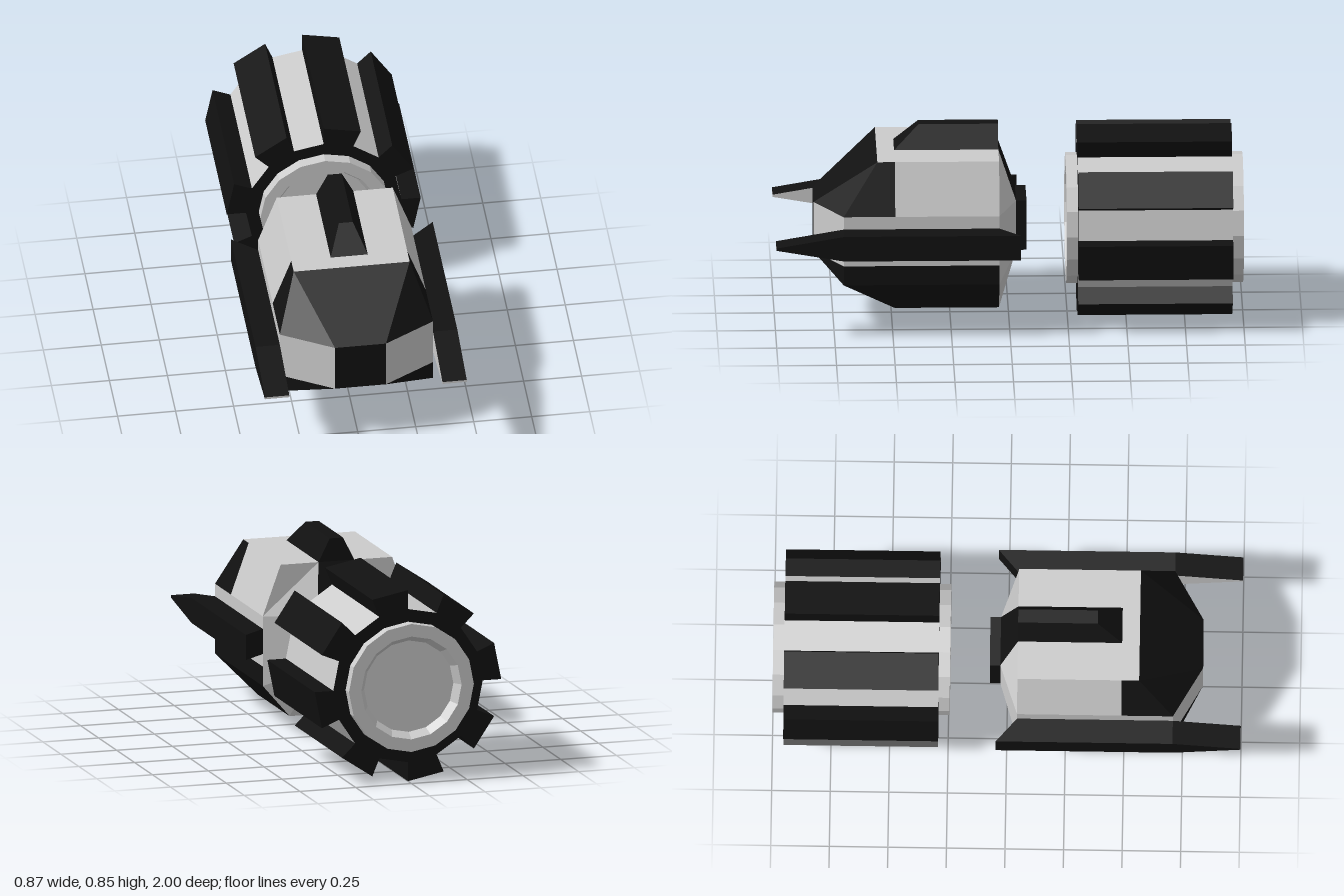
import * as THREE from 'three';
import { ConvexGeometry } from 'three/addons/geometries/ConvexGeometry.js';

const grey = new THREE.MeshStandardMaterial({ color: 0xcccccc, flatShading: true });
const black = new THREE.MeshStandardMaterial({ color: 0x111111, flatShading: true });

function add(parent, name, geometry, material) {
  const mesh = new THREE.Mesh(geometry, material);
  mesh.name = name;
  parent.add(mesh);
  return mesh;
}

const flip = (poly) => poly.map(([x, y, z]) => [-x, y, z]);
// Left half of a centred strip, completed by its mirror image
const across = (pts) => [...pts, ...flip(pts).reverse()];
const both = (polys) => polys.concat(polys.map(flip));

// Flat convex polygons, each wound to face away from a centre point
function shell(polys, centre) {
  const out = [];
  const c = new THREE.Vector3(...centre);
  for (const poly of polys) {
    const p = poly.map((a) => new THREE.Vector3(...a));
    for (let i = 1; i < p.length - 1; i++) {
      const tri = new THREE.Triangle(p[0], p[i], p[i + 1]);
      const n = tri.getNormal(new THREE.Vector3());
      const outward = n.dot(p[0].clone().sub(c)) > 0;
      for (const v of outward ? [p[0], p[i], p[i + 1]] : [p[0], p[i + 1], p[i]]) out.push(v.x, v.y, v.z);
    }
  }
  const g = new THREE.BufferGeometry();
  g.setAttribute('position', new THREE.Float32BufferAttribute(out, 3));
  g.computeVertexNormals();
  return g;
}

const convex = (pts) => new ConvexGeometry(pts.map((p) => new THREE.Vector3(...p)));

function buildCab() {
  const cab = new THREE.Group();
  cab.name = 'cab';
  const centre = [0, 0.42, 0.38];
  const F = 0.835, S = 0.71, M = 0.49, B = 0.045, R = -0.03;
  // Corner points of the left half
  const noseTop = [0.11, 0.53, F], noseLow = [0.11, 0.31, F];
  const cheekTop = [0.33, 0.53, S], cheekLow = [0.33, 0.31, S], chin = [0.33, 0.225, S];
  const brow = [0.25, 0.75, 0.565], keelFront = [0.21, 0.085, M];
  const roofMid = [0.25, 0.75, M], beltMid = [0.33, 0.53, M];
  const roofBack = [0.25, 0.75, B], beltBack = [0.33, 0.53, B], sillBack = [0.33, 0.31, B];
  const skirtBack = [0.33, 0.225, B], keelBack = [0.21, 0.085, B];
  const spineTop = [0.08, 0.75, B], spineUp = [0.11, 0.53, R];
  const spineLow = [0.11, 0.31, R], spineKeel = [0.07, 0.085, B];
  const trapTop = [0.11, 0.225, 0.7065], trapLow = [0.07, 0.085, M];
  const hull = (name, polys, mat) => add(cab, name, shell(polys, centre), mat);

  hull('windshield', [across([noseTop, brow]),
    ...both([[noseTop, cheekTop, brow], [cheekTop, beltMid, roofMid, brow]])], black);
  hull('nosePanel', [across([noseTop, noseLow])], black);
  hull('cheekPanels', both([[noseTop, cheekTop, cheekLow, noseLow]]), grey);
  hull('roof', [across([brow, roofBack])], grey);
  hull('sidePanels', both([[beltMid, roofMid, roofBack, beltBack],
    [cheekTop, cheekLow, sillBack, beltBack]]), grey);
  hull('lowerSides', both([[cheekLow, chin, skirtBack, sillBack],
    [chin, keelFront, keelBack, skirtBack], [noseLow, cheekLow, chin]]), black);
  hull('chinSlope', [across([noseLow, trapTop]),
    ...both([[noseLow, chin, trapTop], [trapTop, chin, keelFront, trapLow]])], black);
  hull('chinPanel', [across([trapTop, trapLow])], grey);
  hull('floor', [across([keelFront, keelBack])], grey);
  hull('rearPanels', both([[spineTop, roofBack, beltBack, spineUp],
    [spineUp, beltBack, sillBack, spineLow],
    [spineLow, sillBack, skirtBack, keelBack, spineKeel]]), grey);
  hull('rearSpine', [across([spineTop, spineUp]), across([spineUp, spineLow]),
    across([spineLow, spineKeel])], black);

  // Block on the back and ridge along the roof
  add(cab, 'rearBlock', new THREE.BoxGeometry(0.22, 0.22, 0.045), black).position.set(0, 0.42, -0.0525);
  const ridge = [[0.08, 0.75, M], [0.03, 0.85, 0.385], [0.03, 0.85, B], [0.08, 0.75, B]];
  add(cab, 'roofRidge', convex([...ridge, ...flip(ridge)]), black);
  return cab;
}

// Long side blade with a tapering front
function buildFin(side) {
  const fin = new THREE.Group();
  fin.name = side > 0 ? 'leftFin' : 'rightFin';
  const outline = (x, back) => [[0.475, back], [0.475, 0.71], [0.425, 1], [0.415, 1], [0.365, 0.71], [0.365, back]]
    .map(([y, z]) => [side * x, y, z]);
  const inner = outline(0.33, 0.045), outer = outline(0.435, -0.045);
  const rim = inner.map((p, i) => {
    const j = (i + 1) % inner.length;
    return [p, inner[j], outer[j], outer[i]];
  });
  const centre = [side * 0.385, 0.42, 0.4];
  const [tip] = rim.splice(2, 1);
  add(fin, 'finBody', shell([outer, ...rim], centre), black);
  add(fin, 'finInnerFace', shell([inner, tip], centre), grey);
  return fin;
}

function buildDrum() {
  const drum = new THREE.Group();
  drum.name = 'drum';
  const lathe = (pts) => new THREE.LatheGeometry(pts.map((p) => new THREE.Vector2(...p)), 16).rotateX(Math.PI / 2);
  const r = 0.335, h = 0.33;
  add(drum, 'drumBody', lathe([[r, -h], [r, h]]), grey);
  add(drum, 'drumRearRim', lathe([[0.27, -h], [r, -h]]), black);
  add(drum, 'drumFrontRim', lathe([[r, h], [0.27, h]]), black);
  // Hub with a dished recess at each end
  add(drum, 'hub', lathe([[0, -0.34], [0.2, -0.34], [0.225, -0.378], [0.28, -0.378],
    [0.28, 0.378], [0.225, 0.378], [0.2, 0.34], [0, 0.34]]), grey);

  // Eight teeth, each filling every other side of the drum
  const a = Math.PI / 8, R = 0.418;
  const at = (rad, t) => new THREE.Vector2(rad * Math.cos(t), rad * Math.sin(t));
  const shape = new THREE.Shape([at(r, -a), at(R, -a), at(R, 0), at(r, 0)]);
  const tooth = new THREE.ExtrudeGeometry(shape, { depth: 2 * h, bevelEnabled: false }).translate(0, 0, -h);
  for (let i = 0; i < 8; i++) add(drum, 'drumTooth', tooth, black).rotation.z = i * 2 * a;
  drum.position.set(0, 0.418, -0.622);
  return drum;
}

export function createModel() {
  const model = new THREE.Group();
  model.name = 'drumVehicle';
  model.add(buildCab(), buildFin(1), buildFin(-1), buildDrum());
  return model;
}
